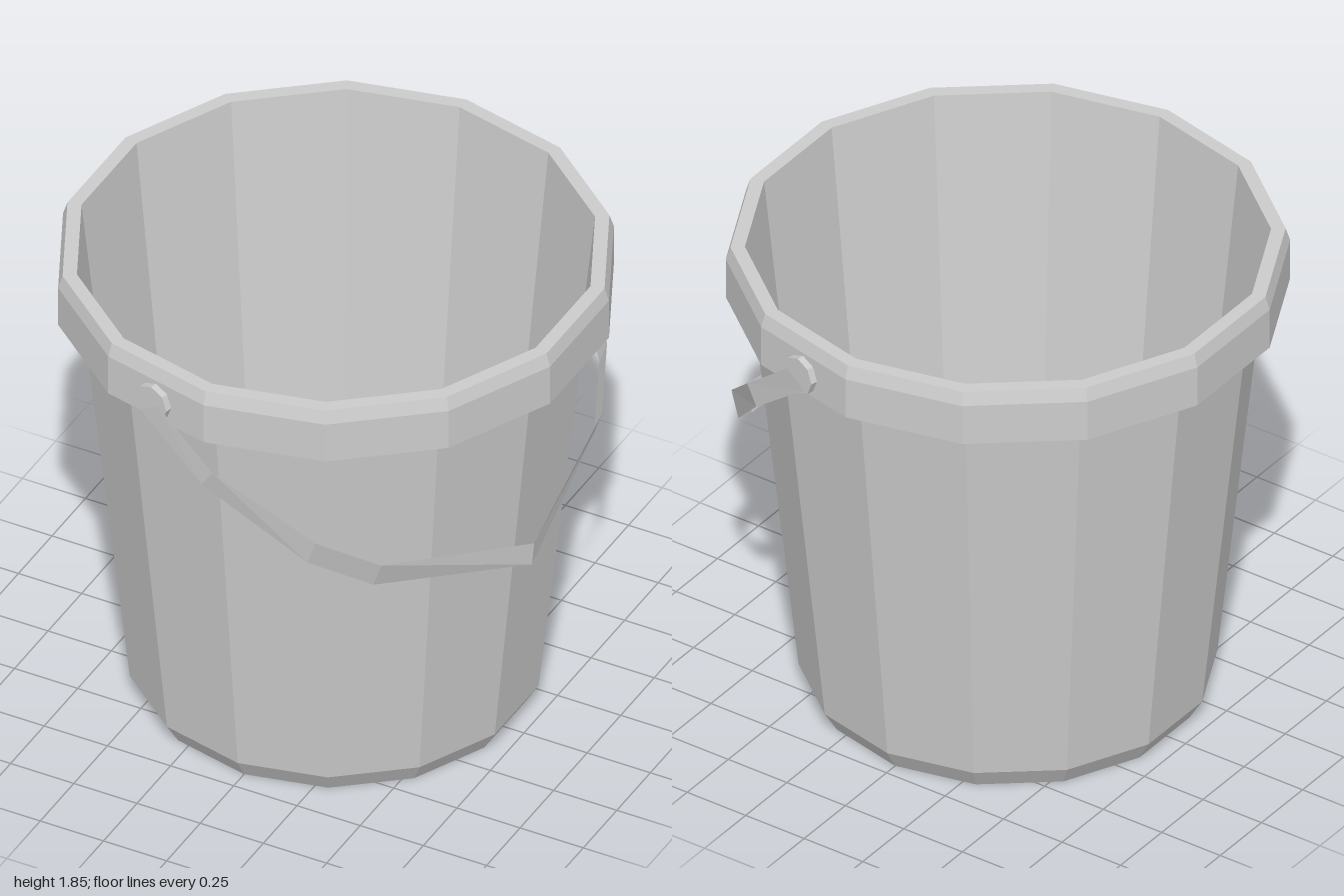
import * as THREE from 'three';

const SIDES = 14;

export function createModel() {
  const model = new THREE.Group();
  const material = new THREE.MeshStandardMaterial({
    color: 0xcccccc, flatShading: true, side: THREE.DoubleSide,
  });
  const add = (parent, name, geometry) => {
    const mesh = new THREE.Mesh(geometry, material);
    mesh.name = name;
    parent.add(mesh);
    return mesh;
  };
  const lathe = (points) =>
    new THREE.LatheGeometry(points.map(([r, y]) => new THREE.Vector2(r, y)), SIDES);

  const bucket = new THREE.Group();
  bucket.name = 'bucket';
  bucket.position.z = -0.012;
  model.add(bucket);

  // Tapered thin wall, open at the top and bottom
  add(bucket, 'wall', lathe([[0.685, 0], [0.733, 0.08], [0.921, 1.85]]));

  // Overhanging rim with a bevelled top edge
  add(bucket, 'rim', lathe([[0.988, 1.64], [0.988, 1.80], [0.972, 1.85], [0.921, 1.85]]));

  // Handle assembly turned so the pivots sit on the middle of a facet
  const handleGroup = new THREE.Group();
  handleGroup.name = 'handleAssembly';
  handleGroup.rotation.y = -Math.PI / SIDES;
  bucket.add(handleGroup);

  // Pivot knobs at both ends
  for (const side of [1, -1]) {
    const knob = add(handleGroup, 'pivotKnob', new THREE.CylinderGeometry(0.072, 0.072, 0.035, 8));
    knob.rotation.x = Math.PI / 2;
    knob.position.set(0, 1.716, side * 0.972);
  }

  // Hanging strap: half stations as [x, y, z, half width in x, half width in y]
  const half = [
    [0.0, 1.705, 1.0, 0.042, 0.026],
    [0.25, 1.505, 0.98, 0.024, 0.037],
    [0.56, 1.22, 0.78, 0.018, 0.05],
    [0.70, 1.085, 0.59, 0.018, 0.05],
    [0.91, 0.95, 0, 0.005, 0.048],
  ];
  const mirrored = half.slice(0, -1).reverse().map(([x, y, z, a, b]) => [x, y, -z, a, b]);
  const positions = [];
  const index = [];
  [...half, ...mirrored].forEach(([x, y, z, a, b], i) => {
    positions.push(x - a, y - b, z, x + a, y + b, z);
    if (i > 0) {
      const k = 2 * i;
      index.push(k - 2, k, k - 1, k - 1, k, k + 1);
    }
  });
  const strap = new THREE.BufferGeometry();
  strap.setAttribute('position', new THREE.Float32BufferAttribute(positions, 3));
  strap.setIndex(index);
  strap.computeVertexNormals();
  add(handleGroup, 'handleStrap', strap);

  return model;
}
